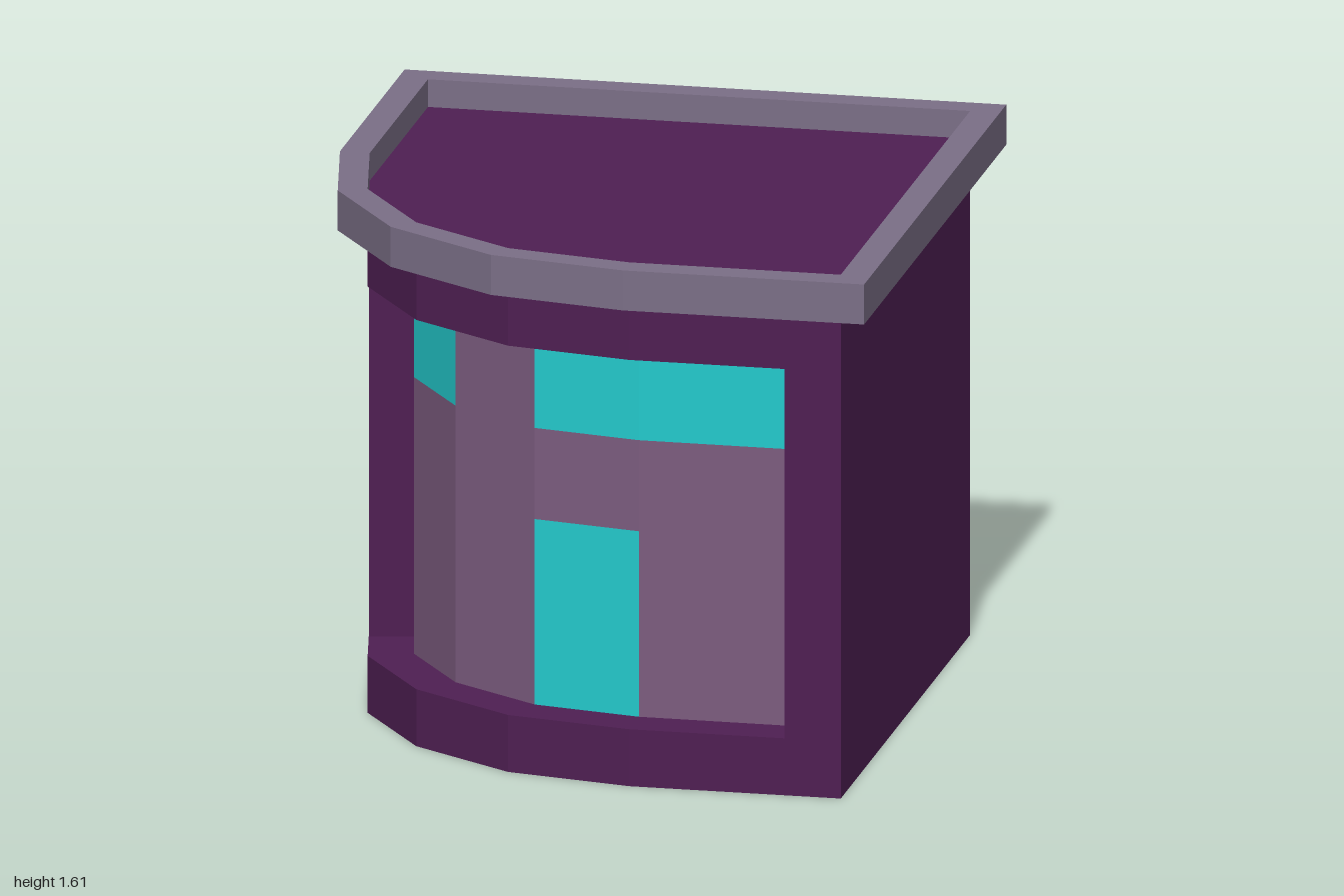
import * as THREE from 'three';

const mat = (color) => new THREE.MeshStandardMaterial({ color });
const CX = 0.18, CZ = -0.09;           // centre of the rounded corner
const STEP = Math.PI / 8;              // corner is four flat facets
const DEPTH = 0.14;                    // facade recess depth
const DOOR = { z0: -0.69, z1: -0.29, y0: 0.03, y1: 0.71, x: -0.73 };

const arcPoint = (r, k) => [CX - r * Math.cos(k * STEP), CZ + r * Math.sin(k * STEP)];

// Points [x, z] along the bottom of the recess, from its left end to its right end
function recessLine(depth) {
  const a = arcPoint(1, 0), b = arcPoint(1, 1), t = 0.46, h = STEP / 2;
  const start = [
    a[0] + (b[0] - a[0]) * t + depth * Math.cos(h),
    a[1] + (b[1] - a[1]) * t - depth * Math.sin(h),
  ];
  const r = 1 - depth / Math.cos(h);
  return [start, ...[1, 2, 3, 4].map((k) => arcPoint(r, k)), [0.65, 0.91 - depth]];
}

// Plan outline, optionally widened or notched for the doorway and the facade
function outline({ grow = 0, door = false, recess = false }) {
  const e = 0.82 + grow, f = 0.91 + grow;
  const pts = [[e, -f], [-e, -f]];
  if (door) pts.push([-e, DOOR.z0], [DOOR.x, DOOR.z0], [DOOR.x, DOOR.z1], [-e, DOOR.z1]);
  pts.push(arcPoint(1 + grow, 0));
  if (recess) {
    const outer = recessLine(0);
    pts.push(outer[0], ...recessLine(DEPTH), outer[5]);
  } else {
    for (let k = 1; k <= 4; k++) pts.push(arcPoint(1 + grow, k));
  }
  pts.push([e, f]);
  return pts.map(([x, z]) => new THREE.Vector2(x, -z));
}

// Extrudes a plan upward from y0 to y1
function slab(points, y0, y1, hole) {
  const shape = new THREE.Shape(points);
  if (hole) shape.holes.push(new THREE.Path(hole));
  const geo = new THREE.ExtrudeGeometry(shape, { depth: y1 - y0, bevelEnabled: false });
  return geo.rotateX(-Math.PI / 2).translate(0, y0, 0);
}

const rect = (x0, x1, y0, y1) =>
  [[x0, y0], [x1, y0], [x1, y1], [x0, y1]].map(([x, y]) => new THREE.Vector2(x, y));

export function createModel() {
  const model = new THREE.Group();
  const add = (parent, name, geo, material) => {
    const mesh = new THREE.Mesh(geo, material);
    mesh.name = name;
    parent.add(mesh);
    return mesh;
  };
  const purple = mat(0x4f1f53), stone = mat(0x7b6f87), mauve = mat(0x7c5c7f);
  const cyan = mat(0x24cacd), amber = mat(0xb07f10), grey = mat(0x5c5a60);

  // Main walls, stacked in horizontal bands
  const body = new THREE.Group();
  body.name = 'walls';
  model.add(body);
  [
    ['plinth', 0, DOOR.y0, {}],
    ['baseBand', DOOR.y0, 0.175, { door: true }],
    ['lowerWall', 0.175, DOOR.y1, { door: true, recess: true }],
    ['upperWall', DOOR.y1, 1.31, { recess: true }],
    ['lintelAndRoof', 1.31, 1.525, {}],
  ].forEach(([name, y0, y1, opts]) => add(body, name, slab(outline(opts), y0, y1), purple));

  // Raised rim around the roof
  add(model, 'cornice', slab(outline({ grow: 0.09 }), 1.487, 1.61, outline({})), stone);

  // Facade facets: rows of [bottom, top, is glass]
  const facade = new THREE.Group();
  facade.name = 'facade';
  model.add(facade);
  const line = recessLine(DEPTH - 0.004);
  const LOW = 0.175, MID = 0.745, HIGH = 1.025, TOP = 1.31;
  [
    [[LOW, MID, false], [MID, TOP, true]],
    [[LOW, HIGH, false], [HIGH, TOP, true]],
    [[LOW, TOP, false]],
    [[LOW, MID, true], [MID, HIGH, false], [HIGH, TOP, true]],
    [[LOW, HIGH, false], [HIGH, TOP, true]],
  ].forEach((rows, i) => {
    const [ax, az] = line[i], [bx, bz] = line[i + 1];
    const width = Math.hypot(bx - ax, bz - az);
    rows.forEach(([y0, y1, glass]) => {
      const panel = add(facade, glass ? 'glassPane' : 'wallPanel',
        new THREE.PlaneGeometry(width, y1 - y0), glass ? cyan : mauve);
      panel.position.set((ax + bx) / 2, (y0 + y1) / 2, (az + bz) / 2);
      panel.rotation.y = -Math.atan2(bz - az, bx - ax);
    });
  });

  // Side door set into the right wall
  const { z0, z1, y0, y1, x } = DOOR, w = 0.03;
  const frame = new THREE.Shape(rect(z0, z1, y0, y1));
  frame.holes.push(new THREE.Path(rect(z0 + w, z1 - w, y0 + w, y1 - w)));
  const frameGeo = new THREE.ExtrudeGeometry(frame, { depth: 0.04, bevelEnabled: false });
  add(model, 'doorFrame', frameGeo.rotateY(-Math.PI / 2).translate(x, 0, 0), grey);
  const door = add(model, 'sideDoor',
    new THREE.BoxGeometry(0.02, y1 - y0 - 2 * w, z1 - z0 - 2 * w), amber);
  door.position.set(x - 0.005, (y0 + y1) / 2, (z0 + z1) / 2);

  return model;
}
